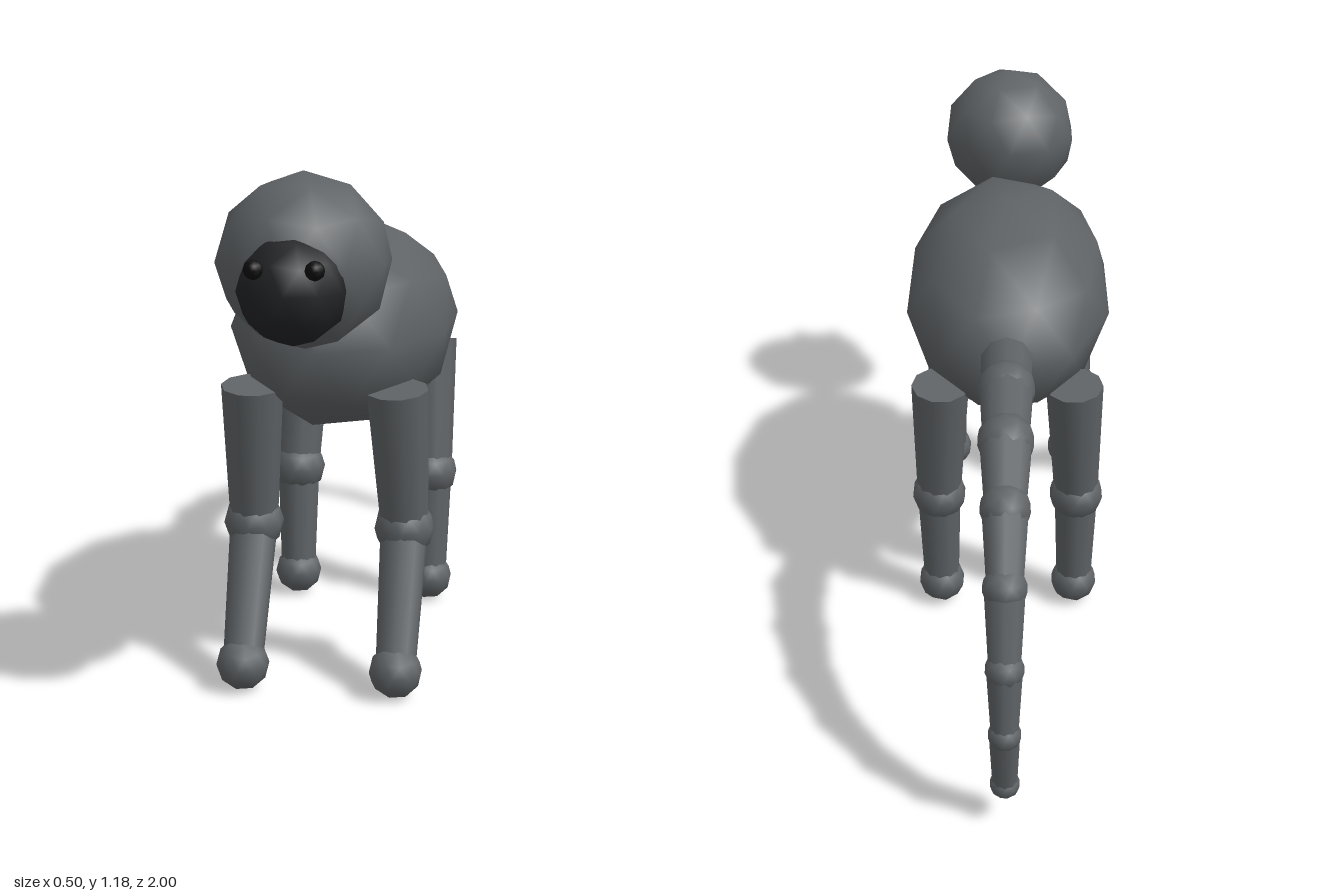
import * as THREE from 'three';

const V = (x, y, z) => new THREE.Vector3(x, y, z);
const fur = new THREE.MeshStandardMaterial({ color: 0x5f6366 });
const bellyFur = new THREE.MeshStandardMaterial({ color: 0x74787b });
const dark = new THREE.MeshStandardMaterial({ color: 0x222326 });
const black = new THREE.MeshStandardMaterial({ color: 0x0c0c0d });

// Low-poly ball with one vertex straight up, shared by every rounded part
const ballGeometry = new THREE.IcosahedronGeometry(1, 1);
ballGeometry.rotateZ(-Math.atan(2 / (1 + Math.sqrt(5))));

function ball(name, center, radii, material = fur) {
  const mesh = new THREE.Mesh(ballGeometry, material);
  mesh.name = name;
  mesh.position.copy(center);
  if (typeof radii === 'number') mesh.scale.setScalar(radii);
  else mesh.scale.copy(radii);
  return mesh;
}

// Tapered cylinder running from a to b
function limb(name, a, b, ra, rb) {
  const mesh = new THREE.Mesh(new THREE.CylinderGeometry(rb, ra, a.distanceTo(b), 10), fur);
  mesh.name = name;
  mesh.position.copy(a).lerp(b, 0.5);
  mesh.quaternion.setFromUnitVectors(V(0, 1, 0), b.clone().sub(a).normalize());
  return mesh;
}

function leg(name, side, hip, knee, foot) {
  const group = new THREE.Group();
  group.name = name;
  const h = V(side * 0.163, ...hip);
  const k = V(side * 0.174, ...knee);
  const f = V(side * 0.173, ...foot);
  group.add(
    limb('upperLeg', h, k, 0.07, 0.055),
    ball('knee', k, 0.069),
    limb('lowerLeg', k, f, 0.055, 0.045),
    ball('foot', f, 0.06)
  );
  return group;
}

export function createModel() {
  const model = new THREE.Group();
  model.name = 'monkey';

  // Torso and the belly that bulges just through its underside
  model.add(ball('body', V(0, 0.785, 0.185), V(0.265, 0.245, 0.485)));
  model.add(ball('belly', V(0, 0.7, 0.065), V(0.223, 0.172, 0.2), bellyFur));

  // Head
  const head = new THREE.Group();
  head.name = 'head';
  head.add(ball('skull', V(0, 0.997, 0.757), 0.183));
  head.add(ball('muzzle', V(0, 0.955, 0.885), 0.113, dark));
  for (const s of [-1, 1]) {
    head.add(ball(s > 0 ? 'leftEye' : 'rightEye', V(s * 0.06, 1.005, 0.972), 0.02, black));
  }
  model.add(head);

  // Legs: hip, knee and foot as [y, z]
  for (const s of [-1, 1]) {
    const side = s > 0 ? 'left' : 'right';
    model.add(leg(side + 'FrontLeg', s, [0.685, 0.52], [0.355, 0.465], [0.064, 0.61]));
    model.add(leg(side + 'BackLeg', s, [0.682, -0.155], [0.342, -0.1], [0.064, -0.08]));
  }

  // Tail: [y, z, joint radius]
  const tail = new THREE.Group();
  tail.name = 'tail';
  const joints = [
    [0.808, -0.28, 0.068], [0.832, -0.45, 0.067], [0.795, -0.615, 0.064],
    [0.722, -0.77, 0.056], [0.6, -0.882, 0.049], [0.44, -0.945, 0.043],
    [0.28, -0.96, 0.037], [0.114, -0.925, 0.034]
  ];
  joints.forEach(([y, z, r], i) => {
    if (i === 0) return;
    const [py, pz, pr] = joints[i - 1];
    tail.add(limb('tailSegment', V(0, py, pz), V(0, y, z), pr * 0.93, r * 0.82));
    tail.add(ball('tailJoint', V(0, y, z), r));
  });
  model.add(tail);

  return model;
}
